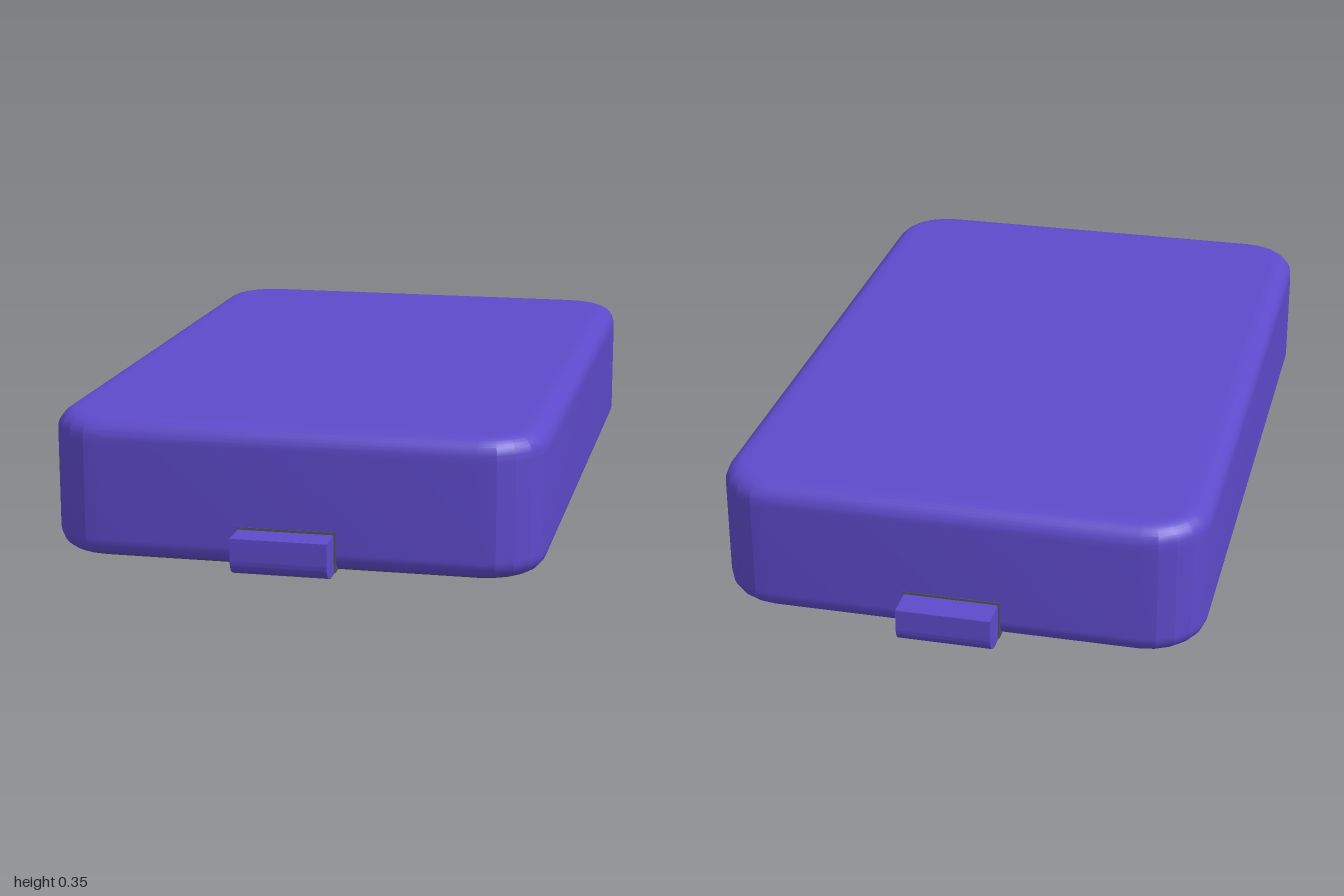
import * as THREE from 'three';
import { toCreasedNormals } from 'three/addons/utils/BufferGeometryUtils.js';

const HX = 0.61, HZ = 0.92, HEIGHT = 0.35, CORNER = 0.15, BEVEL = 0.05, STEPS = 8;

// Rounded rectangle outline, shrunk by an inset, at height y
function outline(inset, y) {
  const pts = [], r = CORNER - inset, seg = 5;
  const signs = [[1, 1], [-1, 1], [-1, -1], [1, -1]];
  signs.forEach(([sx, sz], q) => {
    for (let i = 0; i <= seg; i++) {
      const a = (q + i / seg) * Math.PI / 2;
      pts.push([sx * (HX - CORNER) + r * Math.cos(a), y, sz * (HZ - CORNER) + r * Math.sin(a)]);
    }
  });
  return pts;
}

// Skin through [inset, y] levels from bottom to top, with optional end caps
function loft(levels, capBottom, capTop) {
  const pos = [], idx = [], n = outline(0, 0).length;
  levels.forEach(([inset, y]) => outline(inset, y).forEach(p => pos.push(...p)));
  const bottom = pos.length / 3, top = bottom + 1, last = (levels.length - 1) * n;
  pos.push(0, levels[0][1], 0, 0, levels[levels.length - 1][1], 0);
  for (let j = 0; j < n; j++) {
    const k = (j + 1) % n;
    for (let i = 0; i < levels.length - 1; i++) {
      const a = i * n + j, b = i * n + k;
      idx.push(a, a + n, b, b, a + n, b + n);
    }
    if (capBottom) idx.push(bottom, j, k);
    if (capTop) idx.push(top, last + k, last + j);
  }
  const g = new THREE.BufferGeometry();
  g.setAttribute('position', new THREE.Float32BufferAttribute(pos, 3));
  g.setIndex(idx);
  return toCreasedNormals(g, 0.25);
}

// Bevel level i, from 0 (flat face) to STEPS (vertical wall)
function bevel(i, isTop) {
  const a = i / STEPS * Math.PI / 2;
  const y = BEVEL * (1 - Math.cos(a));
  return [BEVEL * (1 - Math.sin(a)), isTop ? HEIGHT - y : y];
}

export function createModel() {
  const model = new THREE.Group();
  const purple = new THREE.MeshStandardMaterial({ color: 0x5e4acb });
  const grey = new THREE.MeshStandardMaterial({ color: 0x555555 });
  const add = (parent, name, geometry, material) => {
    const mesh = new THREE.Mesh(geometry, material);
    mesh.name = name;
    parent.add(mesh);
    return mesh;
  };

  // Body shell above a thin base that takes the lowest part of the bevel
  const split = 3, shell = [], base = [[BEVEL + 0.01, 0]];
  for (let i = 0; i <= split; i++) base.push(bevel(i, false));
  for (let i = split; i <= STEPS; i++) shell.push(bevel(i, false));
  shell.push([0, BEVEL + 0.01], [0, HEIGHT - BEVEL - 0.01]);
  for (let i = STEPS; i >= 0; i--) shell.push(bevel(i, true));
  shell.push([BEVEL + 0.01, HEIGHT]);
  add(model, 'shell', loft(shell, false, true), purple);
  add(model, 'base', loft(base, true, false), grey);

  // End tab profile, drawn as depth by height, with a rounded lower edge
  const w = 0.236, r = 0.04, y0 = 0.003;
  const profile = new THREE.Shape();
  profile.moveTo(0.88, y0);
  profile.lineTo(1 - r, y0);
  profile.absarc(1 - r, y0 + r, r, -Math.PI / 2, 0, false);
  profile.lineTo(1, 0.097);
  profile.lineTo(0.88, 0.097);
  const tabGeometry = toCreasedNormals(
    new THREE.ExtrudeGeometry(profile, { depth: w, bevelEnabled: false, curveSegments: 8 })
      .translate(0, 0, -w / 2).rotateY(-Math.PI / 2), 0.5);

  // Matching tabs at both ends, each with a surround and an underside plate
  for (const [name, turn] of [['frontTab', 0], ['backTab', Math.PI]]) {
    const tab = new THREE.Group();
    tab.name = name;
    tab.rotation.y = turn;
    add(tab, 'tabBlock', tabGeometry, purple);
    add(tab, 'tabSurround', new THREE.BoxGeometry(0.244, 0.1, 0.04), grey).position.set(0, 0.053, 0.902);
    add(tab, 'tabUnderside', new THREE.BoxGeometry(w, 0.003, 0.09), grey).position.set(0, 0.0015, 0.915);
    model.add(tab);
  }
  return model;
}
